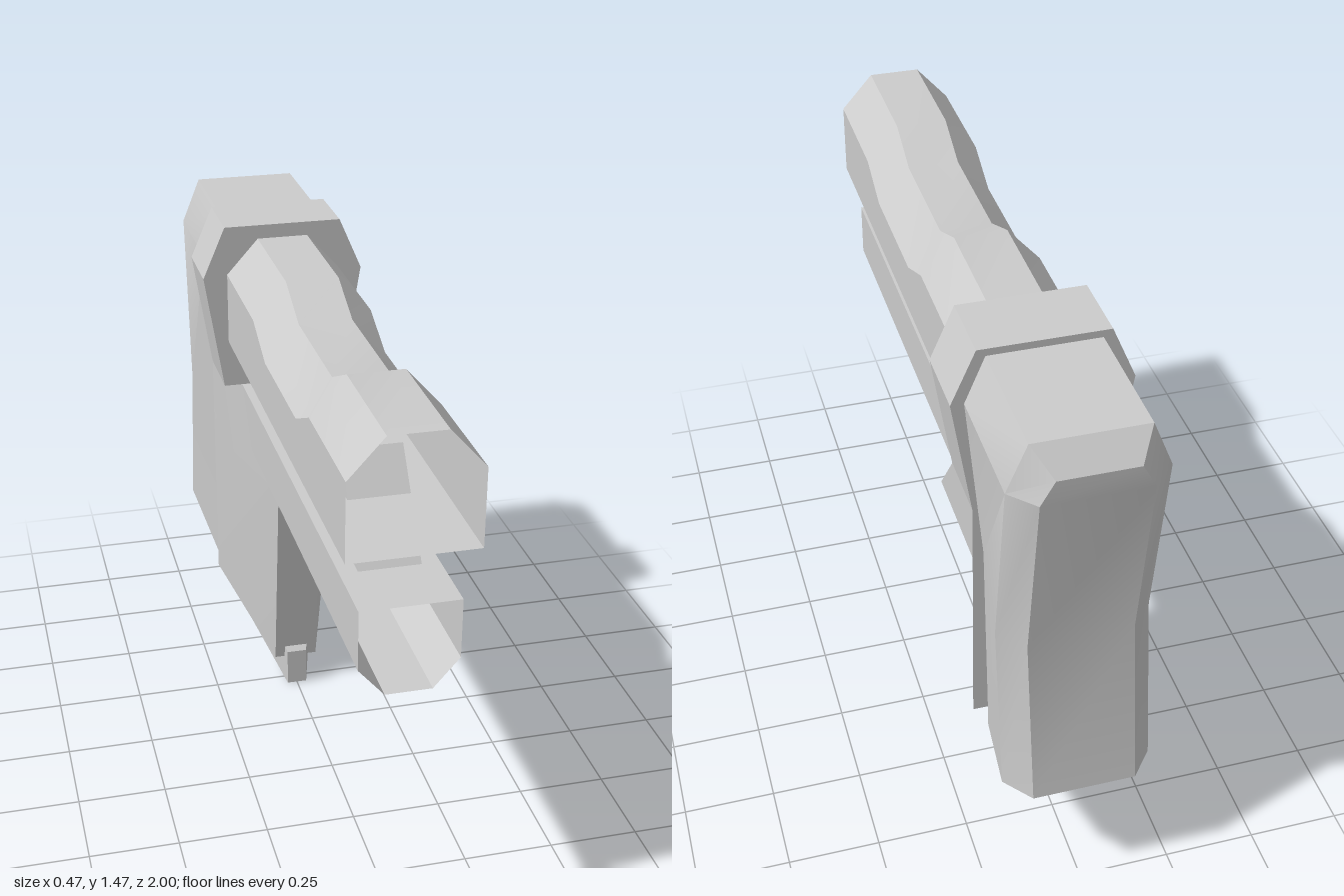
import * as THREE from 'three';
import { ConvexGeometry } from 'three/addons/geometries/ConvexGeometry.js';
import { toCreasedNormals } from 'three/addons/utils/BufferGeometryUtils.js';

const material = new THREE.MeshStandardMaterial({ color: 0xcccccc, side: THREE.DoubleSide });

// Skins a row of cross-sections with quads
function loft(sections, closed = true, out = []) {
  for (let i = 0; i < sections.length - 1; i++) {
    const p = sections[i], q = sections[i + 1], n = p.length;
    for (let j = 0; j < (closed ? n : n - 1); j++) {
      const k = (j + 1) % n;
      out.push(...p[j], ...p[k], ...q[k], ...p[j], ...q[k], ...q[j]);
    }
  }
  return out;
}

const surface = (positions) => new THREE.BufferGeometry()
  .setAttribute('position', new THREE.Float32BufferAttribute(positions, 3));

const flip = ([x, y, z]) => [-x, y, z];

// Convex solid from the points of its left half
const mirroredHull = (half) => new ConvexGeometry(
  half.flatMap((p) => [p, flip(p)]).map((p) => new THREE.Vector3(...p)));

export function createModel() {
  const group = new THREE.Group();
  const add = (name, geometry) => {
    // Gentle bends are smooth, real edges stay sharp
    const mesh = new THREE.Mesh(toCreasedNormals(geometry, 0.45), material);
    mesh.name = name;
    group.add(mesh);
    return mesh;
  };

  // Upper tube: open, with a dip in its top
  const upper = [[1, 0], [0.65, 0], [0.51, 0.065], [0.15, 0.065], [0, 0], [-0.38, 0]].map(([z, dip]) => [
    [-0.073, 1.43 - dip, z], [0.073, 1.43 - dip, z], [0.165, 1.328 - dip, z],
    [0.165, 1.12, z], [-0.165, 1.12, z], [-0.165, 1.328 - dip, z],
  ]);
  add('upperTube', surface(loft(upper)));

  // Lower tube: open, narrower, chamfered underneath
  const lower = [0.985, -0.4].map((z) => [
    [-0.127, 0.98, z], [0.127, 0.98, z], [0.127, 0.82, z],
    [0.06, 0.742, z], [-0.06, 0.742, z], [-0.127, 0.82, z],
  ]);
  add('lowerTube', surface(loft(lower)));

  // Slanted struts between the tubes, open at their hidden ends
  for (const [z, length] of [[0.68, 0.34], [0.333, 0.42]]) {
    const sleeve = [-length / 2, length / 2].map((y) => [
      [0.08, y, 0.052], [0.08, y, -0.052], [-0.08, y, -0.052], [-0.08, y, 0.052],
    ]);
    const strut = add('strut', surface(loft(sleeve)));
    strut.position.set(0, 1.055, z);
    strut.rotation.x = -Math.atan2(0.11, 0.145);
  }

  // Collar around the upper part of the stock
  const collar = [[0.17, 1.47], [0.235, 1.32], [0.18, 0.98]];
  add('collar', mirroredHull([-0.37, -0.57].flatMap((z) => collar.map(([x, y]) => [x, y, z]))));

  // Sloping shoulder below the collar
  add('shoulder', mirroredHull([
    [0.18, 0.98, -0.57], [0.18, 0.98, -0.37], [0.18, 0.82, -0.57],
    [0.18, 0.82, -0.246], [0.065, 0.71, -0.16],
  ]));

  // Tapered front plate
  add('frontPlate', mirroredHull([
    [0.18, 0.82, -0.57], [0.065, 0.71, -0.16], [0.065, 0.09, -0.23], [0.18, 0.255, -0.57],
  ]));

  // Keel running forward to the toe
  add('keel', mirroredHull([
    [0.03, 0, -0.21], [0.03, 0.115, -0.21], [0.135, 0.175, -0.565], [0.135, 0.4, -0.565],
  ]));

  // Rear body: front edge, side edge and rear edge at each level
  const levels = [
    [[0.135, 0.175, -0.565], [0.2, 0.356, -0.925], [0.138, 0.356, -1]],
    [[0.15, 0.82, -0.565], [0.2, 0.82, -0.85], [0.138, 0.82, -0.92]],
    [[0.2, 1.32, -0.565], [0.2, 1.32, -0.92], [0.138, 1.32, -0.985]],
    [[0.147, 1.45, -0.565], [0.147, 1.45, -0.92], [0.102, 1.385, -0.985]],
  ];
  const body = loft(levels.map((h) => [...h, ...h.map(flip).reverse()]));
  const bottom = levels[0], top = levels[3];
  loft([top, top.map(flip)], false, body);
  loft([bottom.map(flip), bottom], false, body);
  add('rearBody', surface(body));

  return group;
}
